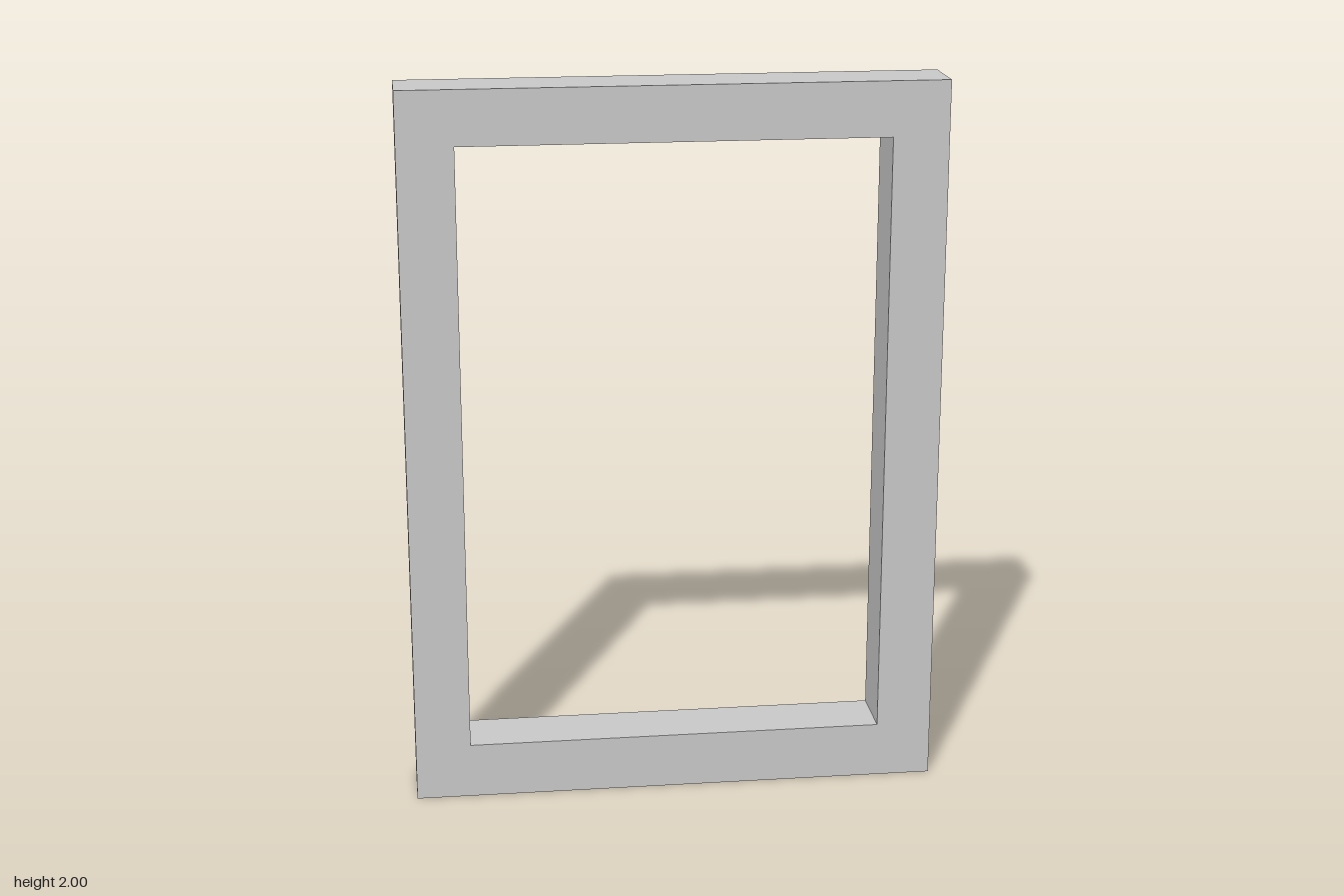
import * as THREE from 'three';

const HALF_WIDTH = 0.733, HEIGHT = 2, DEPTH = 0.172;
const OPENING = { halfWidth: 0.58, bottom: 0.155, top: 1.85 };

// Closed rectangle traced counter-clockwise
function rectangle(PathType, halfWidth, bottom, top) {
  const path = new PathType();
  path.moveTo(-halfWidth, bottom);
  path.lineTo(halfWidth, bottom);
  path.lineTo(halfWidth, top);
  path.lineTo(-halfWidth, top);
  path.closePath();
  return path;
}

export function createModel() {
  const group = new THREE.Group();
  group.name = 'rectangularFrame';

  // One-piece frame: outer rectangle with the opening cut through
  const outline = rectangle(THREE.Shape, HALF_WIDTH, 0, HEIGHT);
  outline.holes.push(rectangle(THREE.Path, OPENING.halfWidth, OPENING.bottom, OPENING.top));
  const geometry = new THREE.ExtrudeGeometry(outline, { depth: DEPTH, bevelEnabled: false });
  geometry.translate(0, 0, -DEPTH / 2);

  const frame = new THREE.Mesh(
    geometry,
    new THREE.MeshStandardMaterial({ color: 0xcccccc, flatShading: true })
  );
  frame.name = 'frame';
  group.add(frame);
  return group;
}
